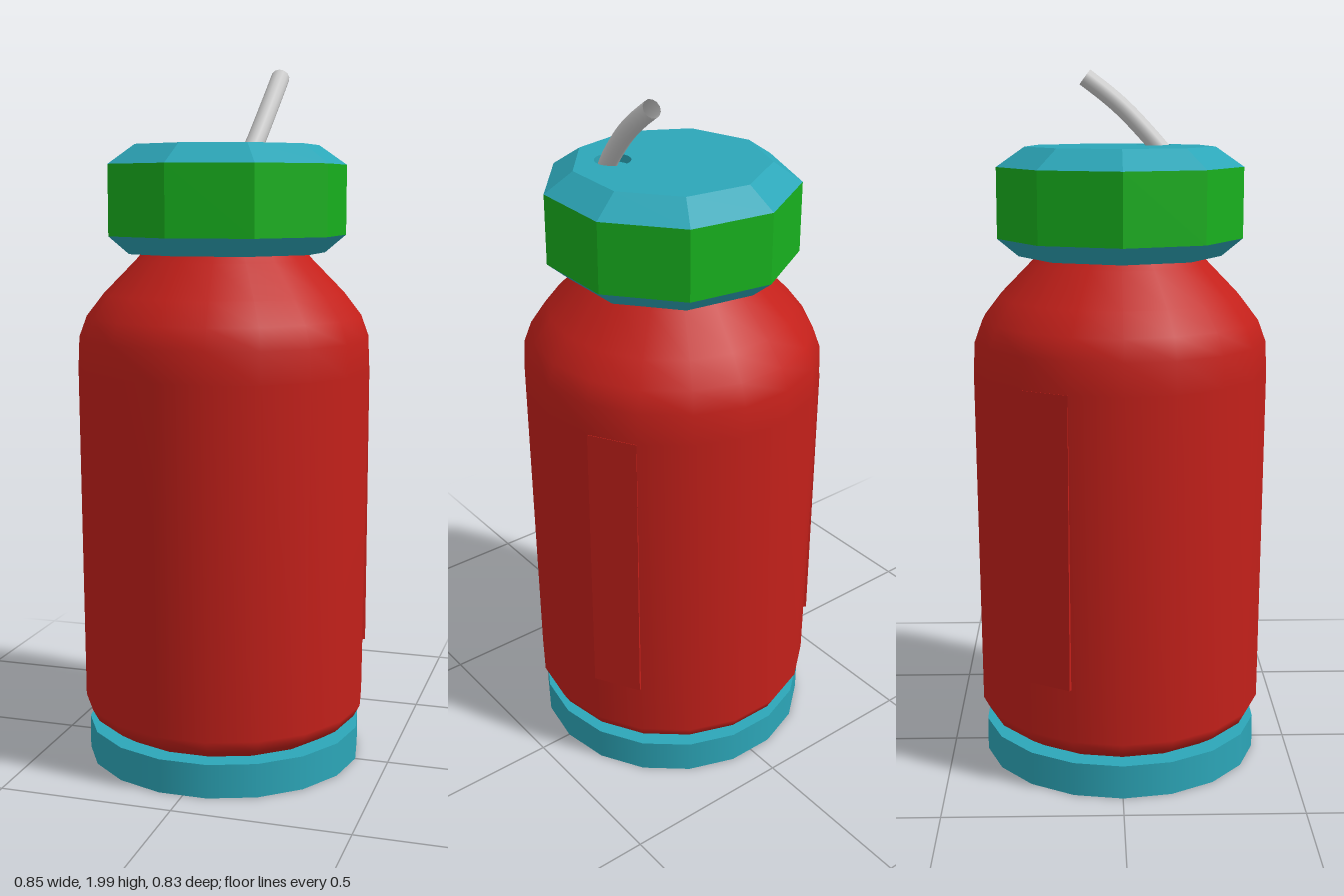
import * as THREE from 'three';

const RED = 0xc4201a, TEAL = 0x2ca6b8, GREEN = 0x18b01e;

function mat(color, flat = false) {
  return new THREE.MeshStandardMaterial({ color, flatShading: flat, side: THREE.DoubleSide });
}

function add(group, name, geometry, material) {
  const mesh = new THREE.Mesh(geometry, material);
  mesh.name = name;
  group.add(mesh);
  return mesh;
}

// Lathe of [radius, height] pairs with a corner on the -x axis
function turned(profile, sides) {
  const points = profile.map(([r, y]) => new THREE.Vector2(r, y));
  return new THREE.LatheGeometry(points, sides, -Math.PI / 2);
}

export function createModel() {
  const model = new THREE.Group();
  model.name = 'drinkBottle';

  // Base disc
  const base = add(model, 'base', new THREE.CylinderGeometry(0.403, 0.403, 0.097, 18, 1, false, Math.PI / 2), mat(TEAL));
  base.position.y = 0.0485;

  // Bottle body with rounded shoulder
  add(model, 'body', turned([
    [0, 0.098], [0.345, 0.098], [0.395, 0.13], [0.414, 0.165], [0.423, 1.15], [0.419, 1.24],
    [0.397, 1.3], [0.347, 1.365], [0.254, 1.46], [0.22, 1.5],
  ], 18), mat(RED));

  // Thin upright strips lying on one back facet of each side
  for (const side of [-1, 1]) {
    const angle = Math.PI / 6;
    const strip = add(model, side > 0 ? 'leftStrip' : 'rightStrip', new THREE.BoxGeometry(0.012, 0.83, 0.143), mat(RED));
    strip.position.set(side * 0.412 * Math.cos(angle), 0.735, -0.412 * Math.sin(angle));
    strip.rotation.y = side * angle;
  }

  // Nine-sided lid: bevels around a straight band
  const lid = new THREE.Group();
  lid.name = 'lid';
  model.add(lid);
  add(lid, 'lidLowerBevel', turned([[0, 1.48], [0.29, 1.48], [0.35, 1.53]], 9), mat(TEAL, true));
  add(lid, 'lidBand', turned([[0.35, 1.53], [0.35, 1.728]], 9), mat(GREEN, true));
  add(lid, 'lidUpperBevel', turned([[0.35, 1.728], [0.27, 1.783]], 9), mat(TEAL, true));

  // Lid top with a round straw hole; shape y becomes -z
  const hole = { x: 0.12, z: 0.1, r: 0.05 };
  const top = new THREE.Shape();
  for (let i = 0; i < 9; i++) {
    const a = Math.PI + (i * Math.PI * 2) / 9;
    top[i ? 'lineTo' : 'moveTo'](0.27 * Math.cos(a), 0.27 * Math.sin(a));
  }
  top.closePath();
  top.holes.push(new THREE.Path().absarc(hole.x, -hole.z, hole.r, 0, Math.PI * 2, true));
  const topGeometry = new THREE.ShapeGeometry(top, 12).rotateX(-Math.PI / 2).translate(0, 1.783, 0);
  add(lid, 'lidTop', topGeometry, mat(TEAL));
  const socket = add(lid, 'strawSocket', turned([[0, 1.76], [hole.r, 1.76], [hole.r, 1.783]], 24), mat(TEAL, true));
  socket.position.set(hole.x, 0, hole.z);

  // Bent hollow straw leaning backwards
  const path = new THREE.CatmullRomCurve3([
    new THREE.Vector3(0.112, 1.745, 0.143),
    new THREE.Vector3(0.122, 1.79, 0.105),
    new THREE.Vector3(0.134, 1.88, 0.02),
    new THREE.Vector3(0.137, 1.93, -0.038),
    new THREE.Vector3(0.137, 1.974, -0.097),
  ]);
  add(model, 'straw', new THREE.TubeGeometry(path, 12, 0.026, 12), mat(0xcccccc));

  return model;
}
